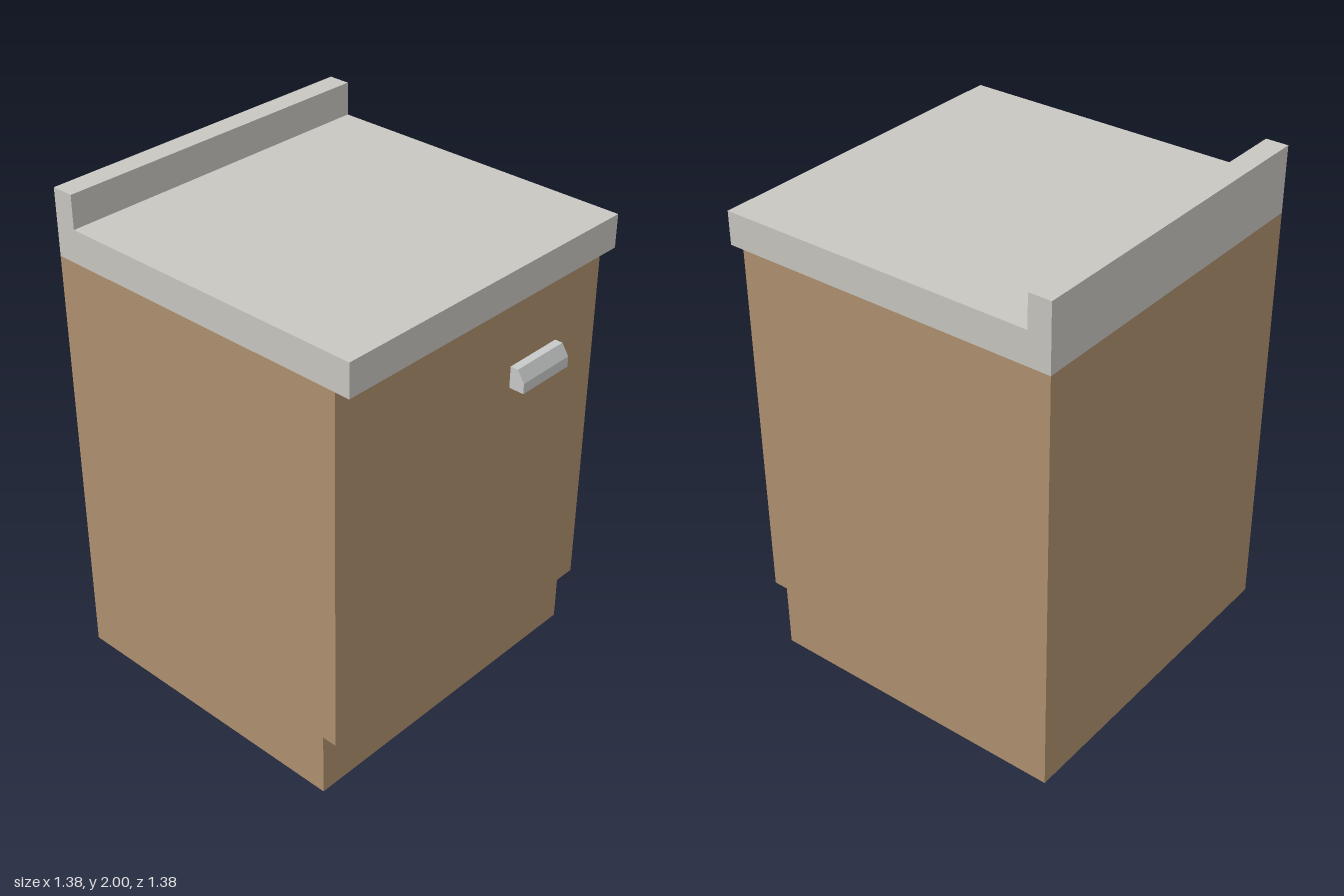
import * as THREE from 'three';

// Extrudes a side profile of [z, y] points along x, centred on centreX
function extrudeProfile(name, points, width, centreX, material) {
  const shape = new THREE.Shape(points.map(([z, y]) => new THREE.Vector2(z, y)));
  const geometry = new THREE.ExtrudeGeometry(shape, { depth: width, bevelEnabled: false });
  geometry.translate(0, 0, -width / 2);
  geometry.rotateY(-Math.PI / 2);
  geometry.translate(centreX, 0, 0);
  const mesh = new THREE.Mesh(geometry, material);
  mesh.name = name;
  return mesh;
}

function flatColour(name, color) {
  const material = new THREE.MeshStandardMaterial({ color });
  material.name = name;
  return material;
}

export function createModel() {
  const wood = flatColour('wood', 0xb09170);
  const stone = flatColour('stone', 0xc8c7c1);
  const metal = flatColour('metal', 0xc8cac9);

  const group = new THREE.Group();
  group.name = 'kitchenCabinet';

  const back = -0.69, front = 0.63, width = 1.38;

  // Cabinet body with a recessed toe kick
  group.add(extrudeProfile('cabinetBody', [
    [back, 0], [0.57, 0], [0.57, 0.265], [front, 0.265], [front, 1.737], [back, 1.737],
  ], width, 0, wood));

  // Worktop overhanging the front, with a raised backsplash
  group.add(extrudeProfile('worktop', [
    [back, 1.737], [0.69, 1.737], [0.69, 1.868], [-0.6, 1.868], [-0.6, 2], [back, 2],
  ], width, 0, stone));

  // Door handle with a sloped upper edge
  group.add(extrudeProfile('doorHandle', [
    [front, 1.35], [0.692, 1.35], [0.692, 1.392], [0.662, 1.437], [front, 1.437],
  ], 0.255, 0.328, metal));

  return group;
}
